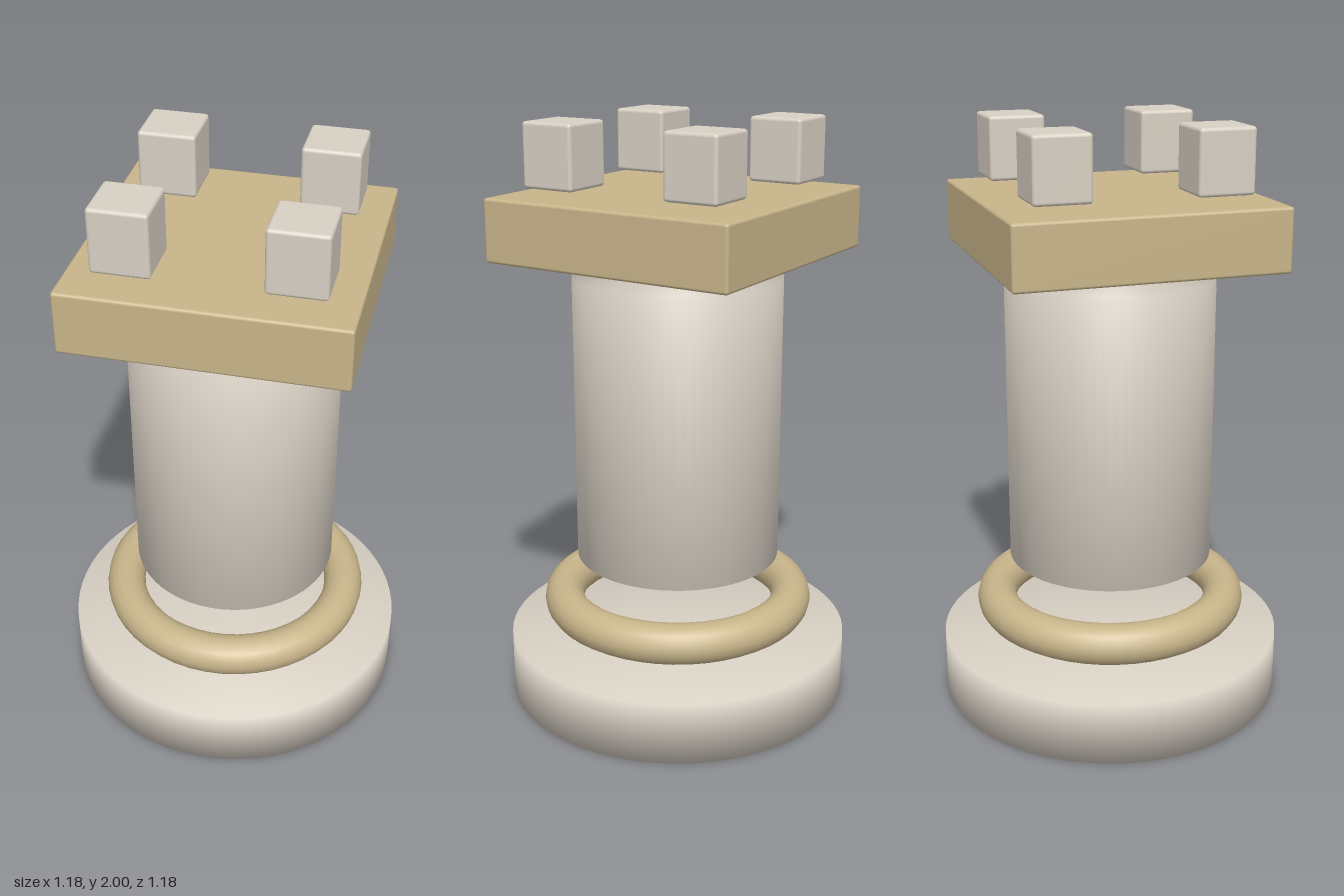
import * as THREE from 'three';
import { RoundedBoxGeometry } from 'three/addons/geometries/RoundedBoxGeometry.js';

const stone = new THREE.MeshStandardMaterial({ color: 0xd8d0c4 });
const sand = new THREE.MeshStandardMaterial({ color: 0xc8b58a });

export function createModel() {
  const group = new THREE.Group();

  function add(name, geometry, material, x, y, z) {
    const mesh = new THREE.Mesh(geometry, material);
    mesh.name = name;
    mesh.position.set(x, y, z);
    group.add(mesh);
    return mesh;
  }

  // Closed turned drum with smooth shading over its rims
  function drum(radius, height) {
    const profile = [[0, 0], [radius, 0], [radius, height], [0, height]];
    return new THREE.LatheGeometry(profile.map(([x, y]) => new THREE.Vector2(x, y)), 64);
  }

  // Base, floating ring and column
  add('base', drum(0.592, 0.216), stone, 0, 0, 0);
  const ring = add('ring', new THREE.TorusGeometry(0.403, 0.069, 16, 48), sand, 0, 0.334, 0);
  ring.rotation.x = Math.PI / 2;
  add('column', drum(0.353, 0.99), stone, 0, 0.502, 0);

  // Square slab
  add('slab', new RoundedBoxGeometry(0.895, 0.208, 0.895, 3, 0.01), sand, 0, 1.66, 0);

  // Four corner battlements
  const block = new RoundedBoxGeometry(0.188, 0.21, 0.188, 3, 0.012);
  for (const x of [-1, 1]) {
    for (const z of [-1, 1]) {
      add(`${z > 0 ? 'front' : 'back'}${x > 0 ? 'Left' : 'Right'}Battlement`, block, stone, x * 0.262, 1.895, z * 0.262);
    }
  }
  return group;
}
